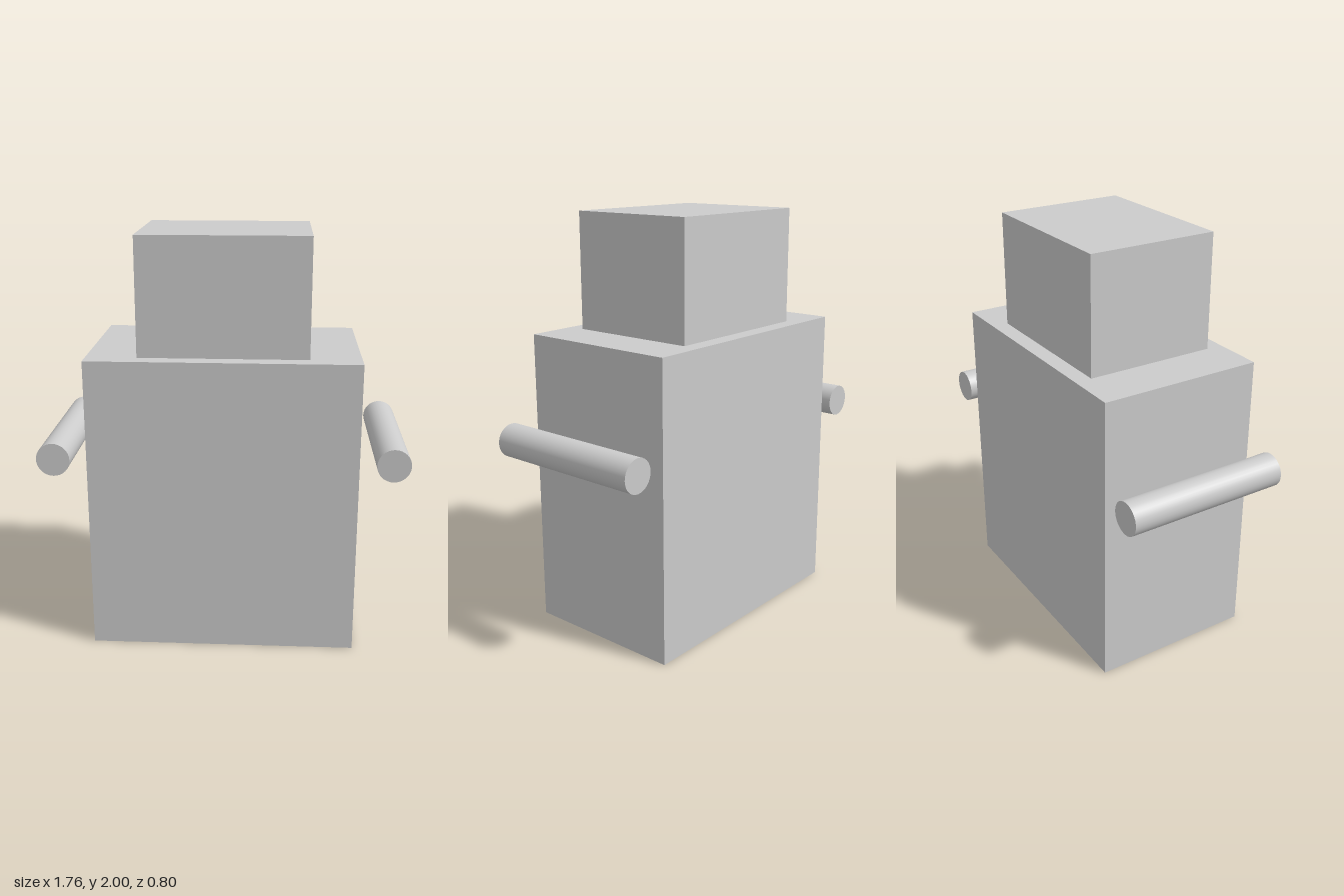
import * as THREE from 'three';

export function createModel() {
  const model = new THREE.Group();
  const material = new THREE.MeshStandardMaterial({ color: 0xcccccc });

  function addPart(name, geometry, x, y, z) {
    const mesh = new THREE.Mesh(geometry, material);
    mesh.name = name;
    mesh.position.set(x, y, z);
    model.add(mesh);
    return mesh;
  }

  // Torso block standing on the ground, with the head resting on it
  addPart('body', new THREE.BoxGeometry(1.28, 1.44, 0.8), 0, 0.72, 0);
  addPart('head', new THREE.BoxGeometry(0.8, 0.56, 0.64), 0, 1.72, 0);

  // Round arms pointing forward, floating beside the body
  const armGeometry = new THREE.CylinderGeometry(0.08, 0.08, 0.8, 32).rotateX(Math.PI / 2);
  for (const [name, side] of [['leftArm', 1], ['rightArm', -1]]) {
    addPart(name, armGeometry, side * 0.8, 0.96, 0);
  }

  return model;
}
